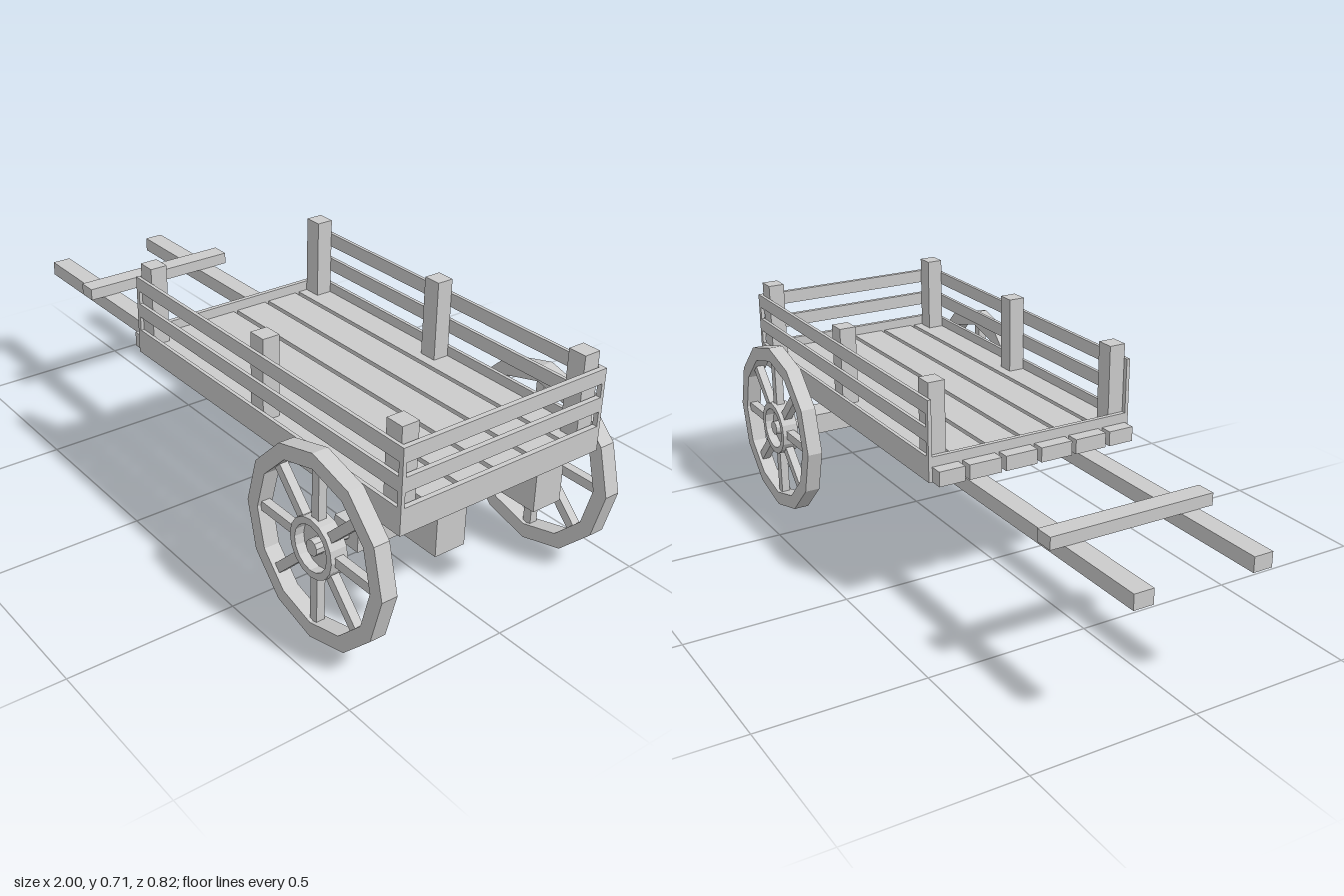
import * as THREE from 'three';

const mat = new THREE.MeshStandardMaterial({ color: 0xcccccc, flatShading: true });

export function createModel() {
  const root = new THREE.Group();
  root.name = 'handCart';

  const add = (parent, name, geometry) => {
    const mesh = new THREE.Mesh(geometry, mat);
    mesh.name = name;
    parent.add(mesh);
    return mesh;
  };
  // Box given by its limits on each axis
  const box = (name, x0, x1, y0, y1, z0, z1, parent = root) => {
    const mesh = add(parent, name, new THREE.BoxGeometry(x1 - x0, y1 - y0, z1 - z0));
    mesh.position.set((x0 + x1) / 2, (y0 + y1) / 2, (z0 + z1) / 2);
    return mesh;
  };
  // Same box on both sides of the cart
  const pair = (name, x0, x1, y0, y1, z0, z1) => {
    box(name + 'Left', x0, x1, y0, y1, z0, z1);
    box(name + 'Right', x0, x1, y0, y1, -z1, -z0);
  };

  // Bed planks
  for (let i = 0; i < 6; i++) {
    const z = (i - 2.5) * 0.118;
    const outer = i === 0 || i === 5 ? 0.325 : 0;
    const z0 = i === 0 ? -outer : z - 0.052;
    const z1 = i === 5 ? outer : z + 0.052;
    box('bedPlank', -0.26, 0.952, 0.42, 0.465, z0, z1);
  }

  // Pull shafts and handle bar
  pair('shaft', -1, 0.965, 0.36, 0.405, 0.155, 0.215);
  box('handleBar', -0.71, -0.65, 0.405, 0.442, -0.26, 0.26);

  // Side and tail boards; the front has only the low board
  const levels = [[0.42, 0.495], [0.538, 0.58], [0.62, 0.662]];
  levels.forEach(([y0, y1], i) => {
    pair('sideBoard', -0.22, 0.967, y0, y1, 0.325, 0.336);
    box('tailBoard', 0.952, 0.967, y0, y1, -0.325, 0.325);
    if (i === 0) box('frontBoard', -0.22, -0.206, y0, y1, -0.325, 0.325);
  });

  // Corner strips that close the gaps between the boards
  for (const [x0, x1] of [[-0.22, -0.206], [0.952, 0.967]]) {
    pair('cornerStrip', x0, x1, 0.495, 0.62, 0.325, 0.336);
  }

  // Posts
  for (const x of [-0.178, 0.372, 0.919]) {
    pair('post', x - 0.028, x + 0.028, 0.44, 0.706, 0.274, 0.326);
  }

  // Blocks under the bed and axle blocks
  pair('bolster', 0.675, 0.965, 0.31, 0.42, 0.12, 0.215);
  pair('axleBlock', 0.675, 0.77, 0.245, 0.311, 0.12, 0.298);

  // Ring along z, centred on z = 0
  const ring = (outer, inner, depth, sides) => {
    const polygon = (r) => Array.from({ length: sides }, (_, i) => {
      const a = (i / sides) * Math.PI * 2;
      return new THREE.Vector2(r * Math.cos(a), r * Math.sin(a));
    });
    const shape = new THREE.Shape(polygon(outer));
    shape.holes.push(new THREE.Path(polygon(inner).reverse()));
    return new THREE.ExtrudeGeometry(shape, { depth, bevelEnabled: false }).translate(0, 0, -depth / 2);
  };
  const disc = (r, depth, sides) => new THREE.CylinderGeometry(r, r, depth, sides).rotateX(Math.PI / 2);

  // Wheels, with outer face towards +z
  for (const side of [1, -1]) {
    const wheel = new THREE.Group();
    wheel.name = side > 0 ? 'wheelLeft' : 'wheelRight';
    add(wheel, 'rim', ring(0.277, 0.232, 0.048, 12));
    for (let i = 0; i < 8; i++) {
      const spoke = add(wheel, 'spoke', new THREE.BoxGeometry(0.165, 0.028, 0.026).translate(0.157, 0, 0));
      spoke.rotation.z = (i * Math.PI) / 4;
    }
    add(wheel, 'hubRing', ring(0.086, 0.066, 0.052, 16));
    add(wheel, 'hubDisc', disc(0.07, 0.026, 16)).position.z = -0.016;
    add(wheel, 'axleCap', disc(0.023, 0.03, 10)).position.z = 0.008;
    add(wheel, 'axle', disc(0.015, 0.12, 10)).position.z = -0.06;
    wheel.position.set(0.721, 0.277, side * 0.385);
    if (side < 0) wheel.rotation.y = Math.PI;
    root.add(wheel);
  }

  return root;
}
